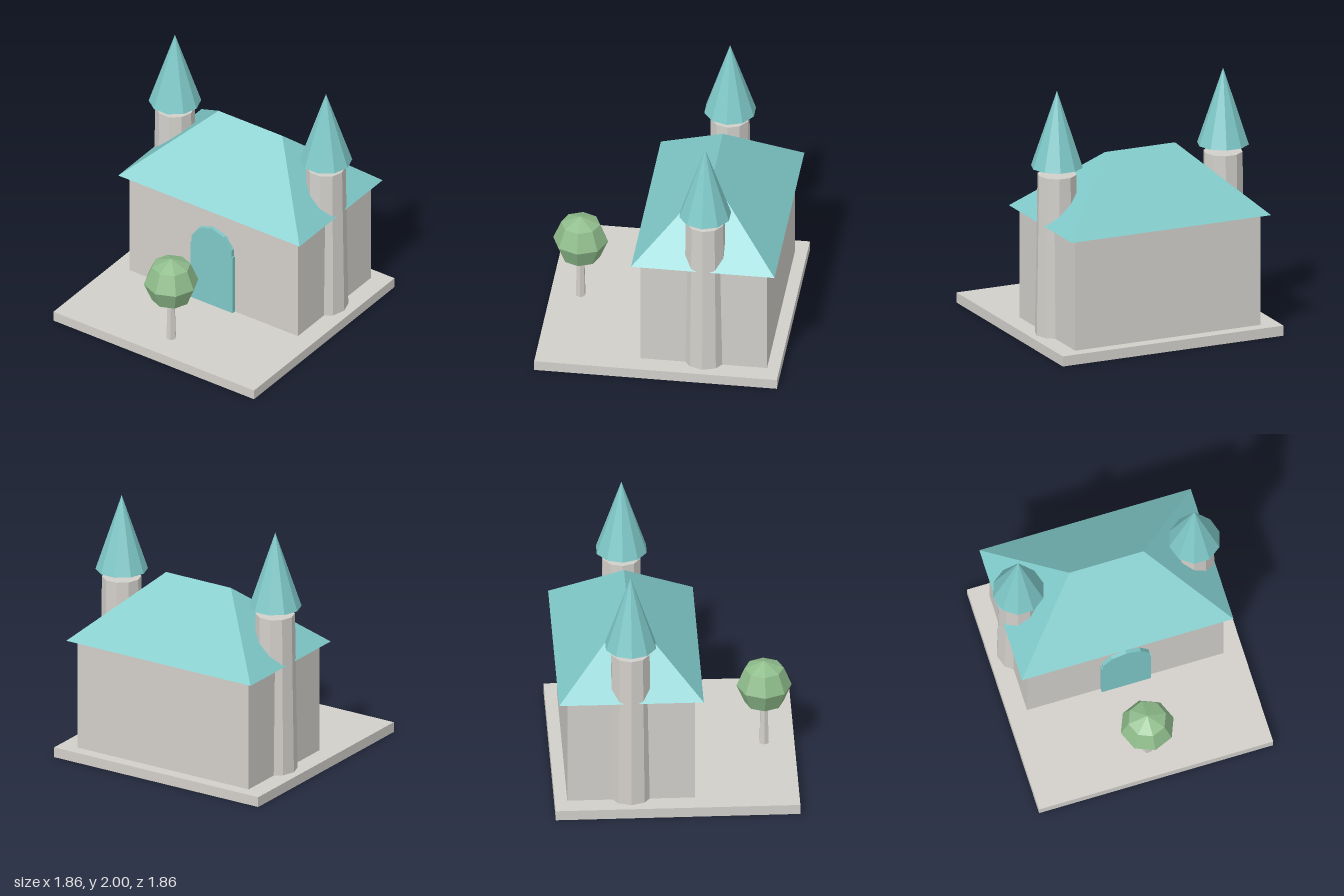
import * as THREE from 'three';

function flatMaterial(name, color) {
  const m = new THREE.MeshStandardMaterial({ color, flatShading: true });
  m.name = name;
  return m;
}

function part(name, geometry, material, x = 0, y = 0, z = 0) {
  const mesh = new THREE.Mesh(geometry, material);
  mesh.name = name;
  mesh.position.set(x, y, z);
  return mesh;
}

// Prism, optionally tapered, with a corner on the x axis
function prism(rTop, rBottom, height, sides) {
  return new THREE.CylinderGeometry(rTop, rBottom, height, sides).rotateY(Math.PI / 2);
}

// Closed hip roof: four eave corners and two ridge ends
function hipRoof(halfX, halfZ, ridgeHalf, height) {
  const corners = [
    -halfX, 0, halfZ, halfX, 0, halfZ, halfX, 0, -halfZ, -halfX, 0, -halfZ,
    -ridgeHalf, height, 0, ridgeHalf, height, 0,
  ];
  const geometry = new THREE.BufferGeometry();
  geometry.setAttribute('position', new THREE.Float32BufferAttribute(corners, 3));
  geometry.setIndex([
    0, 1, 5, 0, 5, 4, // front slope
    2, 3, 4, 2, 4, 5, // back slope
    1, 2, 5, 3, 0, 4, // hips
    0, 3, 2, 0, 2, 1, // underside
  ]);
  const flat = geometry.toNonIndexed();
  flat.computeVertexNormals();
  return flat;
}

// Door with a faceted arch on top of straight jambs
function archedDoor(halfWidth, bottom, spring, depth) {
  const shape = new THREE.Shape();
  shape.moveTo(-halfWidth, bottom);
  shape.lineTo(halfWidth, bottom);
  shape.lineTo(halfWidth, spring);
  const inner = halfWidth * Math.cos(Math.PI / 10);
  shape.lineTo(inner, spring);
  for (let i = 0; i < 5; i++) {
    const a = Math.PI / 10 + (i * Math.PI) / 5;
    shape.lineTo(halfWidth * Math.cos(a), spring + halfWidth * Math.sin(a));
  }
  shape.lineTo(-inner, spring);
  shape.lineTo(-halfWidth, spring);
  shape.closePath();
  return new THREE.ExtrudeGeometry(shape, { depth, bevelEnabled: false });
}

export function createModel() {
  const stone = flatMaterial('stone', 0xd2cfca);
  const teal = flatMaterial('teal', 0x7fc8c8);
  const leaf = flatMaterial('leaf green', 0x8fbc8b);

  const model = new THREE.Group();
  model.name = 'castleHouse';

  // Ground slab and building
  model.add(part('base', new THREE.BoxGeometry(1.86, 0.08, 1.86), stone, 0, 0.04, 0));
  model.add(part('walls', new THREE.BoxGeometry(1.56, 0.88, 0.97), stone, 0, 0.52, -0.35));
  model.add(part('roof', hipRoof(0.84, 0.55, 0.295, 0.5), teal, 0, 0.96, -0.35));
  model.add(part('door', archedDoor(0.195, 0.08, 0.585, 0.03), teal, 0, 0, 0.135));

  // Side towers, with the spires floating just above the shafts
  for (const [name, side] of [['left', 1], ['right', -1]]) {
    const tower = new THREE.Group();
    tower.name = name + 'Tower';
    tower.position.set(side * 0.7, 0, -0.35);
    tower.add(part('shaft', prism(0.15, 0.17, 1.26, 10), stone, 0, 0.71, 0));
    const spire = new THREE.ConeGeometry(0.2, 0.6, 10).rotateY(Math.PI / 2);
    tower.add(part('spire', spire, teal, 0, 1.7, 0));
    model.add(tower);
  }

  // Round tree before the door
  const tree = new THREE.Group();
  tree.name = 'tree';
  tree.position.z = 0.7;
  tree.add(part('trunk', prism(0.03, 0.04, 0.36, 6), stone, 0, 0.26, 0));
  tree.add(part('foliage', new THREE.SphereGeometry(0.21, 8, 4), leaf, 0, 0.59, 0));
  model.add(tree);

  return model;
}
